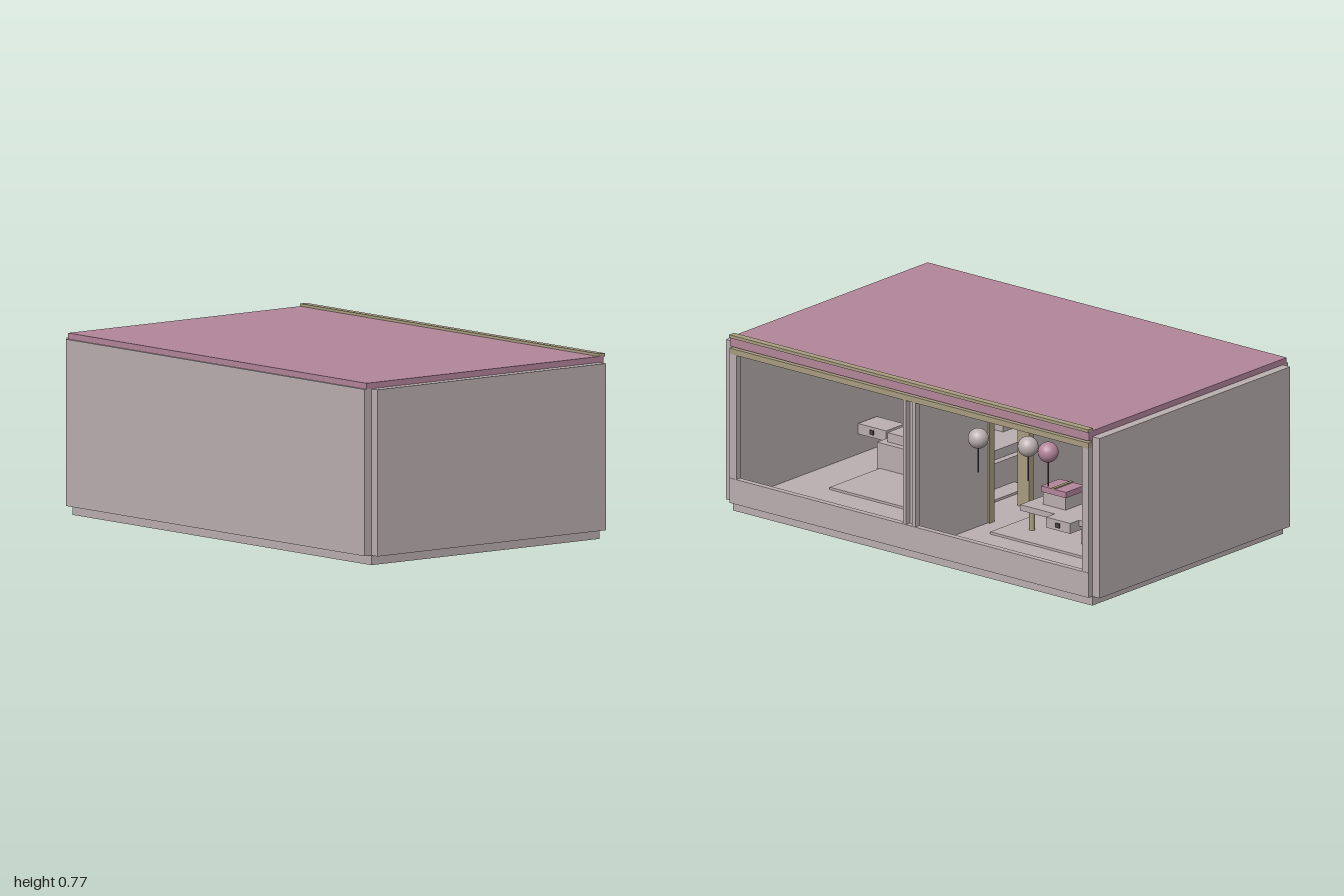
import * as THREE from 'three';

export function createModel() {
  const model = new THREE.Group();
  const mat = (name, color) => Object.assign(new THREE.MeshStandardMaterial({ color }), { name });
  const grey = mat('warm grey', 0xbbafb0);
  const pink = mat('dusty pink', 0xb3859a);
  const beige = mat('olive beige', 0xa89d80);
  const dark = mat('charcoal', 0x4c4648);

  const add = (name, geometry, material) => {
    const mesh = new THREE.Mesh(geometry, material);
    mesh.name = name;
    model.add(mesh);
    return mesh;
  };
  // box given by its extents along x, y and z
  const box = (name, material, [x0, x1], [y0, y1], [z0, z1]) => {
    const mesh = add(name, new THREE.BoxGeometry(x1 - x0, y1 - y0, z1 - z0), material);
    mesh.position.set((x0 + x1) / 2, (y0 + y1) / 2, (z0 + z1) / 2);
    return mesh;
  };

  // shell
  const W = [-0.96, 0.96];
  box('floor', grey, W, [0, 0.04], [-0.61, 0.605]);
  box('frontWall', grey, W, [0.04, 0.73], [0.605, 0.64]);
  box('leftWall', grey, [0.96, 1], [0.04, 0.73], [-0.61, 0.605]);
  box('rightWall', grey, [-1, -0.96], [0.04, 0.73], [-0.61, 0.605]);
  box('roof', pink, W, [0.73, 0.755], [-0.605, 0.63]);

  // open back: sill, posts and layered trim
  box('sill', grey, W, [0.04, 0.147], [-0.635, -0.608]);
  for (const s of [-1, 1]) {
    for (const [x, w] of [[0.942, 0.036], [0.025, 0.018]]) {
      box('backPost', grey, [s * x - w / 2, s * x + w / 2], [0.147, 0.685], [-0.633, -0.608]);
    }
  }
  box('lowerTrim', beige, W, [0.683, 0.708], [-0.635, -0.608]);
  box('fascia', pink, W, [0.715, 0.755], [-0.63, -0.605]);
  box('upperTrim', beige, W, [0.753, 0.766], [-0.637, -0.605]);

  // dividing wall with a doorway
  const T = [-0.02, 0.02];
  box('dividerBack', grey, T, [0.04, 0.73], [-0.608, -0.13]);
  box('dividerFront', grey, T, [0.04, 0.73], [0.1, 0.605]);
  box('dividerTop', grey, T, [0.66, 0.73], [-0.13, 0.1]);
  for (const z of [-0.14, 0.11]) {
    box('doorJamb', beige, [-0.03, 0.03], [0.04, 0.67], [z - 0.015, z + 0.015]);
  }
  box('doorHeader', beige, [-0.028, 0.028], [0.5, 0.67], [-0.125, 0.095]);

  // rugs
  box('bedroomRug', grey, [0.13, 0.755], [0.04, 0.05], [-0.24, 0.3]);
  box('partyRug', grey, [-0.84, -0.12], [0.04, 0.05], [-0.26, 0.3]);

  // wall drawer or small drawer box with a dark knob
  const drawer = (x, y, z, w) => {
    box('drawer', grey, [x - w / 2, x + w / 2], [y, y + 0.045], [z, z + 0.12]);
    box('drawerKnob', dark, [x - 0.01, x + 0.01], [y + 0.013, y + 0.032], [z - 0.006, z + 0.002]);
  };

  // bed and bedside drawer
  box('bedBase', grey, [0.22, 0.77], [0.04, 0.16], [0.08, 0.56]);
  box('mattress', grey, [0.25, 0.74], [0.16, 0.2], [0.11, 0.55]);
  box('pillow', grey, [0.38, 0.61], [0.2, 0.23], [0.42, 0.54]);
  drawer(0.88, 0.13, 0.18, 0.15);

  // party table
  box('tableTop', grey, [-0.55, -0.2], [0.135, 0.16], [-0.165, 0.09]);
  for (const x of [-0.235, -0.515]) {
    for (const z of [-0.13, 0.055]) {
      const leg = add('tableLeg', new THREE.CylinderGeometry(0.012, 0.012, 0.095, 12), beige);
      leg.position.set(x, 0.0875, z);
    }
  }
  drawer(-0.45, 0.115, -0.22, 0.13);

  // gift box
  box('giftBox', grey, [-0.39, -0.27], [0.16, 0.215], [-0.1, 0.005]);
  box('giftLid', pink, [-0.397, -0.263], [0.215, 0.24], [-0.107, 0.012]);
  box('giftRibbon', beige, [-0.337, -0.323], [0.24, 0.245], [-0.107, 0.012]);

  // balloons on strings
  for (const [x, y, z, m] of [
    [-0.23, 0.53, -0.466, grey], [-0.464, 0.535, -0.428, grey], [-0.574, 0.535, -0.431, pink],
  ]) {
    add('balloon', new THREE.SphereGeometry(0.043, 24, 16), m).position.set(x, y, z);
    add('balloonString', new THREE.CylinderGeometry(0.003, 0.003, 0.11, 6), dark)
      .position.set(x, y - 0.093, z);
  }

  return model;
}
